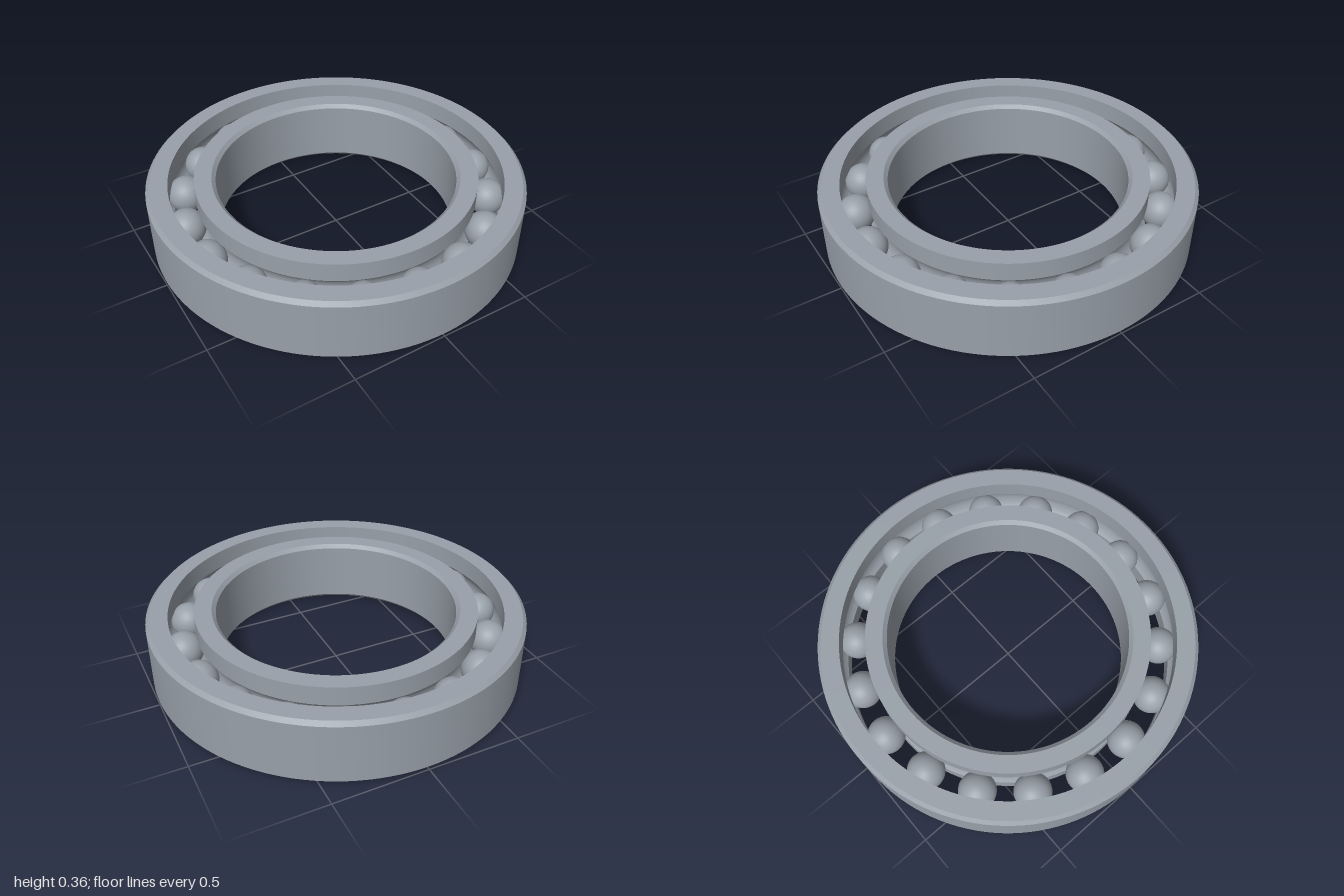
import * as THREE from 'three';
import { toCreasedNormals } from 'three/addons/utils/BufferGeometryUtils.js';

const HEIGHT = 0.36;
const PITCH = 0.818;  // radius of the circle of balls
const BALL = 0.1;
const GROOVE = 0.102; // radius of the raceway groove
const COUNT = 18;

// Raceway arc cut into a wall of radius r: upward on the inner ring, downward on the outer
function groove(r) {
  const side = Math.sign(r - PITCH);
  const half = Math.acos(Math.abs(r - PITCH) / GROOVE);
  const points = [];
  for (let i = 0; i <= 16; i++) {
    const a = half * (1 - i / 8) * side;
    points.push([PITCH + side * GROOVE * Math.cos(a), HEIGHT / 2 + GROOVE * Math.sin(a)]);
  }
  return points;
}

// Turned ring from a closed counterclockwise profile of [radius, y]
function ring(name, profile, material) {
  const points = [...profile, profile[0]].map(([r, y]) => new THREE.Vector2(r, y));
  const geometry = toCreasedNormals(new THREE.LatheGeometry(points, 128), Math.PI / 7);
  const mesh = new THREE.Mesh(geometry, material);
  mesh.name = name;
  return mesh;
}

export function createModel() {
  const model = new THREE.Group();
  model.name = 'ballBearing';
  const steel = new THREE.MeshStandardMaterial({ color: 0x98a0a9 });
  steel.name = 'steel';

  // Outer race, chamfered on its outside edges
  const c = 0.02;
  model.add(ring('outerRace', [
    [1 - c, 0], [1, c], [1, HEIGHT - c], [1 - c, HEIGHT],
    [0.885, HEIGHT], ...groove(0.885), [0.885, 0],
  ], steel));

  // Inner race, chamfered at the bore
  const bore = 0.638;
  model.add(ring('innerRace', [
    [bore + c, 0], [0.75, 0], ...groove(0.75), [0.75, HEIGHT],
    [bore + c, HEIGHT], [bore, HEIGHT - c], [bore, c],
  ], steel));

  // Balls, evenly spaced
  const balls = new THREE.Group();
  balls.name = 'balls';
  const sphere = new THREE.SphereGeometry(BALL, 32, 20);
  for (let i = 0; i < COUNT; i++) {
    const a = THREE.MathUtils.degToRad(1.8) + (i / COUNT) * Math.PI * 2;
    const ball = new THREE.Mesh(sphere, steel);
    ball.name = 'ball';
    ball.position.set(PITCH * Math.sin(a), HEIGHT / 2, -PITCH * Math.cos(a));
    balls.add(ball);
  }
  model.add(balls);
  return model;
}
